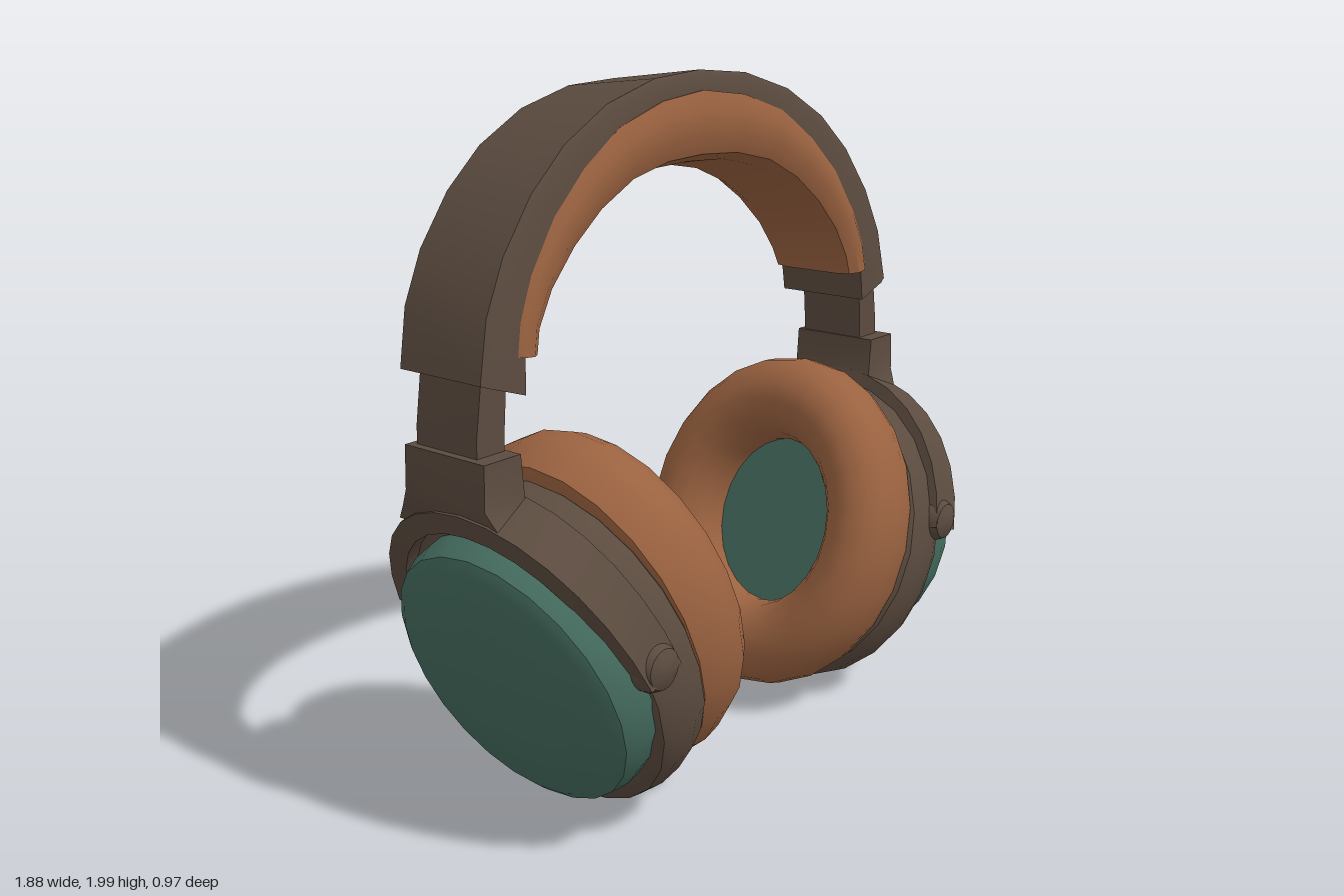
import * as THREE from 'three';
import { toCreasedNormals } from 'three/addons/utils/BufferGeometryUtils.js';

const brown = new THREE.MeshStandardMaterial({ color: 0x5b4b3f });
brown.name = 'dark brown frame';
const tan = new THREE.MeshStandardMaterial({ color: 0x9a6240 });
tan.name = 'tan leather';
const green = new THREE.MeshStandardMaterial({ color: 0x446b5d });
green.name = 'green cover';

function part(parent, name, geometry, material) {
  const mesh = new THREE.Mesh(toCreasedNormals(geometry, 0.6), material);
  mesh.name = name;
  parent.add(mesh);
  return mesh;
}

// Solid through a row of closed convex cross-sections, always facing outward.
function loft(rings) {
  const n = rings[0].length, m = rings.length, index = [];
  const points = rings.flat();
  for (let i = 0; i < m - 1; i++) {
    for (let j = 0; j < n; j++) {
      const a = i * n + j, b = i * n + (j + 1) % n;
      index.push(a, b, b + n, a, b + n, a + n);
    }
  }
  for (let j = 1; j < n - 1; j++) {
    const e = (m - 1) * n;
    index.push(0, j + 1, j, e, e + j, e + j + 1);
  }
  const v = points.map(p => new THREE.Vector3(...p));
  let volume = 0;
  for (let i = 0; i < index.length; i += 3) {
    volume += v[index[i]].dot(v[index[i + 1]].clone().cross(v[index[i + 2]]));
  }
  if (volume < 0) index.reverse();
  const g = new THREE.BufferGeometry();
  g.setAttribute('position', new THREE.Float32BufferAttribute(points.flat(), 3));
  g.setIndex(index);
  return g;
}

// Ring of revolution around the cup axis, stretched along the cup's height.
function lathe(profile, stretch) {
  const points = profile.map(([r, a]) => new THREE.Vector2(r, a));
  return new THREE.LatheGeometry(points, 24).scale(stretch, 1, 1);
}

// Arch from the outer and inner half curves; section is [depth, side] pairs.
function arch(outer, inner, section, endHalf, topHalf) {
  const last = outer.length - 1, rings = [];
  for (let i = -last; i <= last; i++) {
    const k = last - Math.abs(i), t = k / last, s = i < 0 ? 1 : -1;
    const centre = THREE.MathUtils.lerp(-0.06, -0.128, t);
    const half = THREE.MathUtils.lerp(endHalf, topHalf, t);
    rings.push(section.map(([d, w]) => [
      s * THREE.MathUtils.lerp(outer[k][0], inner[k][0], d),
      THREE.MathUtils.lerp(outer[k][1], inner[k][1], d) - (w < 0 ? 0.035 * t : 0),
      centre + w * half,
    ]));
  }
  return loft(rings);
}

const box = (y, x0, x1, z0, z1) => [[x0, y, z0], [x1, y, z0], [x1, y, z1], [x0, y, z1]];

function makeSide() {
  const side = new THREE.Group();

  // Sliding arm and the neck that flares into the yoke
  part(side, 'slider', loft([
    box(1.02, 0.82, 0.915, -0.16, 0.06),
    box(1.15, 0.815, 0.91, -0.16, 0.06),
    box(1.32, 0.80, 0.885, -0.16, 0.06),
  ]), brown);
  part(side, 'yokeNeck', loft([
    box(1.1, 0.81, 0.935, -0.18, 0.11),
    box(0.98, 0.80, 0.94, -0.18, 0.11),
    box(0.92, 0.77, 0.92, -0.22, 0.14),
    box(0.87, 0.75, 0.89, -0.27, 0.2),
  ]), brown);

  // Tilted cup: local y points outward, local -x points up along the cup
  const cup = new THREE.Group();
  cup.name = 'earCup';
  cup.position.set(0.215, 0.624, 0.01);
  cup.rotation.z = THREE.MathUtils.degToRad(-109);
  side.add(cup);

  const pad = part(cup, 'earPad', lathe([
    [0.23, 0.32], [0.225, 0.21], [0.24, 0.14], [0.275, 0.09], [0.32, 0.068], [0.365, 0.07],
    [0.41, 0.095], [0.438, 0.14], [0.45, 0.2], [0.45, 0.26], [0.435, 0.315], [0.40, 0.33],
    [0.23, 0.32],
  ], 1.175), tan);
  pad.position.x = -0.008;
  part(cup, 'speakerPlate', lathe([[0, 0.24], [0.24, 0.24]], 1.15), green);
  part(cup, 'cupShell', lathe([
    [0.24, 0.31], [0.41, 0.3], [0.445, 0.33], [0.46, 0.39], [0.455, 0.46],
    [0.44, 0.5], [0.41, 0.52], [0.30, 0.52],
  ], 1.09), brown);
  const cover = part(cup, 'cupCover', lathe([
    [0.41, 0.48], [0.41, 0.56], [0.395, 0.61], [0.36, 0.632], [0.2, 0.655], [0, 0.662],
  ], 1.01), green);
  cover.position.set(-0.03, 0, 0.02);

  // Yoke arc over the cup, with a pivot knob at each end
  const rings = [];
  for (let i = 0; i <= 14; i++) {
    const f = THREE.MathUtils.degToRad(-80 + i * 160 / 14);
    const middle = 0.465 + 0.04 * Math.cos(f);
    const wide = 0.058 + 0.015 * Math.cos(f);
    const at = (r, a) => [-(r + 0.06) * Math.cos(f), a, r * Math.sin(f)];
    rings.push([
      at(0.415, middle - wide), at(0.48, middle - wide),
      at(0.48, middle + wide), at(0.415, middle + wide),
    ]);
  }
  part(cup, 'yoke', loft(rings), brown);
  for (const s of [-1, 1]) {
    const g = lathe([[0.07, 0], [0.07, 0.04], [0.055, 0.07], [0.03, 0.082], [0, 0.085]], 1);
    const knob = part(cup, 'pivotKnob', g, brown);
    knob.rotation.x = s * Math.PI / 2;
    knob.position.set(-0.118, 0.47, s * 0.4);
  }
  return side;
}

export function createModel() {
  const model = new THREE.Group();
  model.name = 'headphones';

  // Headband shell
  const outer = [[0.915, 1.29], [0.88, 1.45], [0.81, 1.59], [0.70, 1.73],
    [0.57, 1.84], [0.40, 1.93], [0.20, 1.985], [0, 2]];
  const inner = [[0.77, 1.24], [0.76, 1.40], [0.71, 1.53], [0.61, 1.66],
    [0.49, 1.76], [0.35, 1.85], [0.18, 1.91], [0, 1.925]];
  part(model, 'headband', arch(outer, inner,
    [[0, 0.94], [0.2, 1], [1, 1], [1, -1], [0.2, -1], [0, -0.94]], 0.155, 0.17), brown);

  // Padded cushion under the band
  const root = [[0.80, 1.34], [0.785, 1.43], [0.735, 1.54], [0.635, 1.675],
    [0.51, 1.78], [0.36, 1.87], [0.18, 1.925], [0, 1.945]];
  const belly = [[0.70, 1.33], [0.685, 1.39], [0.63, 1.48], [0.54, 1.57],
    [0.43, 1.65], [0.30, 1.71], [0.15, 1.74], [0, 1.745]];
  part(model, 'headbandCushion', arch(root, belly,
    [[0, 0.9], [0.25, 1], [0.6, 1], [0.88, 0.88], [1, 0.6],
      [1, -0.6], [0.88, -0.88], [0.6, -1], [0.25, -1], [0, -0.9]], 0.16, 0.195), tan);

  // Matching left and right sides
  const left = makeSide();
  left.name = 'leftSide';
  const right = makeSide();
  right.name = 'rightSide';
  right.scale.x = -1;
  model.add(left, right);
  return model;
}
